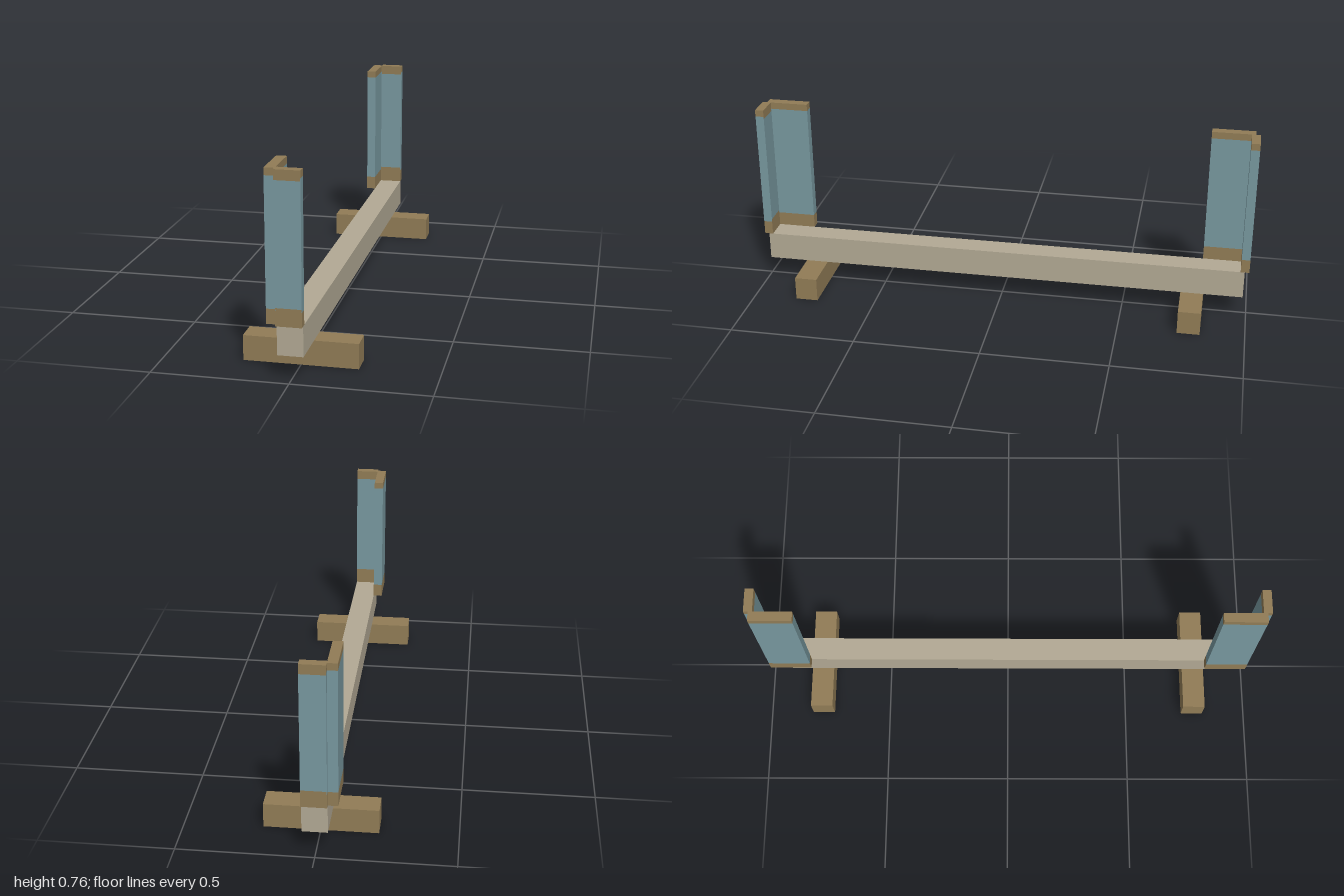
import * as THREE from 'three';

export function createModel() {
  const model = new THREE.Group();
  model.name = 'postedBeam';

  const mat = (name, color) => {
    const m = new THREE.MeshStandardMaterial({ color });
    m.name = name;
    return m;
  };
  const brown = mat('brownWood', 0x917c56);
  const blue = mat('blueGreyPaint', 0x78989f);
  const pale = mat('paleWood', 0xb2a994);

  // Box given by its min and max along each axis
  const box = (parent, name, material, [x0, x1], [y0, y1], [z0, z1]) => {
    const mesh = new THREE.Mesh(new THREE.BoxGeometry(x1 - x0, y1 - y0, z1 - z0), material);
    mesh.position.set((x0 + x1) / 2, (y0 + y1) / 2, (z0 + z1) / 2);
    mesh.name = name;
    parent.add(mesh);
  };

  const bottom = 0.207, top = 0.757;
  const beamX = [-0.045, 0.048];

  // Upright board: bare wood at both ends, painted between y0 and y1
  const board = (parent, name, x, z, y0, y1) => {
    const group = new THREE.Group();
    group.name = name;
    box(group, name + 'Base', brown, x, [bottom, y0], z);
    box(group, name + 'Paint', blue, x, [y0, y1], z);
    box(group, name + 'Cap', brown, x, [y1, top], z);
    parent.add(group);
  };

  // Long beam
  box(model, 'beam', pale, beamX, [0.095, bottom], [-0.982, 0.982]);

  for (const s of [1, -1]) {
    const end = new THREE.Group();
    end.name = s > 0 ? 'frontEnd' : 'backEnd';
    const span = (a, b) => (s > 0 ? [a, b] : [-b, -a]);

    // Cross foot under the beam
    box(end, 'foot', brown, [-0.212, 0.21], [0, 0.095], span(0.735, 0.825));

    // L-shaped post: end board with its painted edges, and side board
    const endZ = span(0.966, 1), edge = 0.001;
    board(end, 'endBoard', [beamX[0] + edge, beamX[1] - edge], endZ, 0.273, 0.72);
    board(end, 'endBoardRightEdge', [beamX[0], beamX[0] + edge], endZ, 0.262, 0.73);
    board(end, 'endBoardLeftEdge', [beamX[1] - edge, beamX[1]], endZ, 0.262, 0.73);
    board(end, 'sideBoard', [-0.082, beamX[0]], span(0.814, 0.982), 0.262, 0.73);
    model.add(end);
  }
  return model;
}
